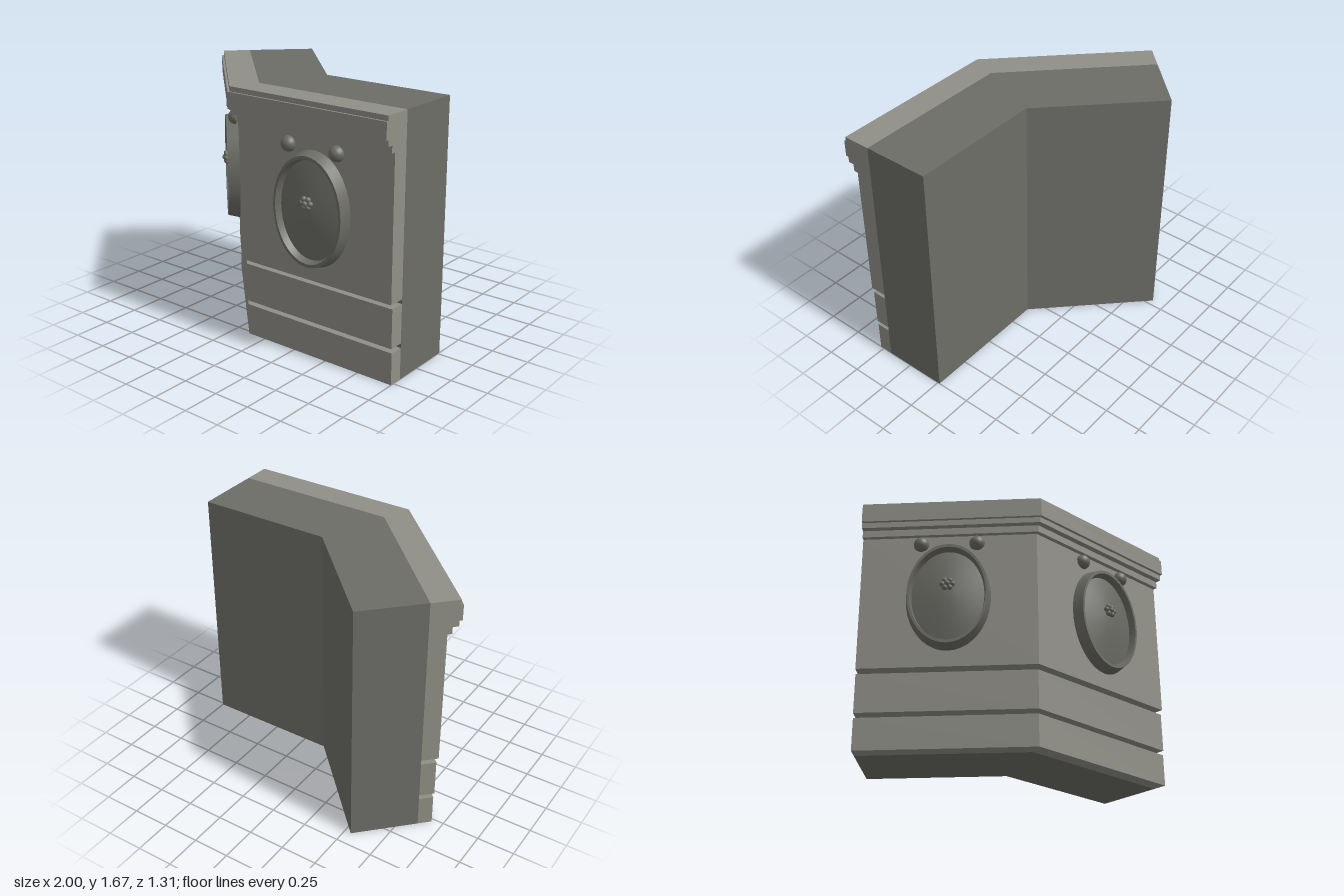
import * as THREE from 'three';
import { toCreasedNormals } from 'three/addons/utils/BufferGeometryUtils.js';

const lightStone = new THREE.MeshStandardMaterial({ color: 0x908f87 });
lightStone.name = 'light stone';
const darkStone = new THREE.MeshStandardMaterial({ color: 0x6d6d67 });
darkStone.name = 'dark stone';

const BEND = { x: 0.09, z: -0.015 }; // back corner where the two walls meet
const S = Math.SQRT1_2;
const MITRE = Math.tan(Math.PI / 8);

// Plan line across both walls at the depth whose straight wall lies at z
function planLine(z) {
  const d = z - BEND.z;
  return [
    new THREE.Vector2(1, -z),
    new THREE.Vector2(BEND.x - d * MITRE, -z),
    new THREE.Vector2(-0.545 - d * S, 0.655 - d * S),
  ];
}

// Bent course of stone between two depths and two heights
function course(name, back, front, y0, y1, material) {
  const shape = new THREE.Shape([...planLine(back), ...planLine(front).reverse()]);
  const geo = new THREE.ExtrudeGeometry(shape, { depth: y1 - y0, bevelEnabled: false });
  geo.rotateX(-Math.PI / 2);
  geo.translate(0, y0, 0);
  const mesh = new THREE.Mesh(geo, material);
  mesh.name = name;
  return mesh;
}

// Oval medallion, flower and two knobs; local z is height above the wall's back plane
function ornament() {
  const group = new THREE.Group();
  const add = (name, geo, x, y, z) => {
    const mesh = new THREE.Mesh(geo, darkStone);
    mesh.name = name;
    mesh.position.set(x, y, z);
    group.add(mesh);
    return mesh;
  };

  // Rim with a sunken, gently domed dish
  const profile = [[0, 0], [0.368, 0], [0.348, 0.078], [0.328, 0.078], [0.314, 0.032],
    [0.24, 0.044], [0.15, 0.056], [0.07, 0.064], [0, 0.067]].map(([r, h]) => new THREE.Vector2(r, h));
  const dish = new THREE.LatheGeometry(profile, 40);
  dish.rotateX(Math.PI / 2);
  dish.scale(0.735, 1, 1);
  add('medallion', toCreasedNormals(dish, 0.5), 0, 0.997, 0.565);

  // Flower of six round petals
  const petal = new THREE.SphereGeometry(0.018, 12, 8);
  add('flowerCentre', petal, 0, 1.056, 0.654);
  for (let i = 0; i < 6; i++) {
    const a = (i / 6) * Math.PI * 2;
    add('flowerPetal', petal, Math.cos(a) * 0.032, 1.056 + Math.sin(a) * 0.028, 0.643);
  }

  // Half-round knobs
  const knob = new THREE.SphereGeometry(0.05, 24, 10, 0, Math.PI * 2, 0, Math.PI / 2);
  knob.rotateX(Math.PI / 2);
  const disc = new THREE.CircleGeometry(0.05, 24);
  disc.rotateY(Math.PI);
  for (const x of [-0.18, 0.18]) {
    add('knob', knob, x, 1.38, 0.58);
    add('knobBack', disc, x, 1.38, 0.58);
  }
  return group;
}

export function createModel() {
  const model = new THREE.Group();
  model.name = 'cornerCounter';

  model.add(course('core', BEND.z, 0.43, 0, 1.675, darkStone));

  // Facing courses from floor to cornice
  [
    ['plinth', 0.525, 0, 0.21],
    ['lowerBand', 0.53, 0.24, 0.497],
    ['wallPanel', 0.543, 0.527, 1.45],
    ['corniceFoot', 0.572, 1.45, 1.497],
    ['corniceStep', 0.61, 1.497, 1.535],
    ['corniceFascia', 0.629, 1.535, 1.643],
    ['corniceTop', 0.615, 1.643, 1.675],
  ].forEach(([name, front, y0, y1]) => model.add(course(name, 0.43, front, y0, y1, lightStone)));

  // One ornament on each wall
  const straight = ornament();
  straight.name = 'straightWallOrnament';
  straight.position.set(0.434, 0, BEND.z);
  model.add(straight);

  const angled = ornament();
  angled.name = 'angledWallOrnament';
  angled.position.set(BEND.x - 0.334 * S, 0, BEND.z - 0.334 * S);
  angled.rotation.y = -Math.PI / 4;
  model.add(angled);

  return model;
}
